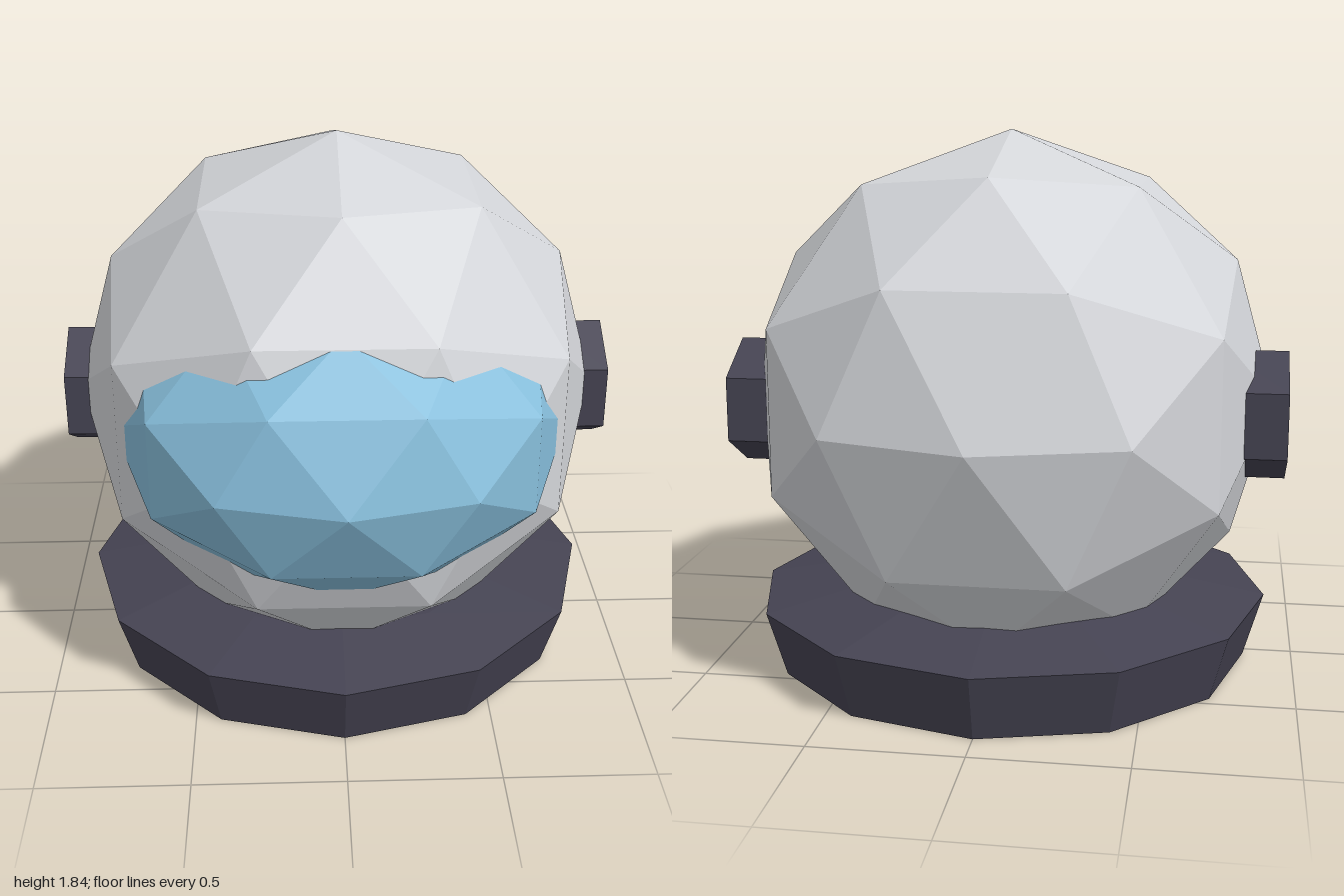
import * as THREE from 'three';

const shell = new THREE.MeshStandardMaterial({ color: 0xd4d6da });
shell.name = 'light grey shell';
const glass = new THREE.MeshStandardMaterial({ color: 0x87bedb });
glass.name = 'blue glass';
const rubber = new THREE.MeshStandardMaterial({ color: 0x454352 });
rubber.name = 'dark trim';

// Gives every triangle its own normal for a faceted look
function faceted(geometry) {
  const flat = geometry.index ? geometry.toNonIndexed() : geometry;
  flat.computeVertexNormals();
  return flat;
}

function addPart(group, name, geometry, material, x, y, z) {
  const mesh = new THREE.Mesh(faceted(geometry), material);
  mesh.name = name;
  mesh.position.set(x, y, z);
  group.add(mesh);
}

// Low-poly ball stretched along each axis
function facetedBall(rx, ry, rz) {
  return new THREE.IcosahedronGeometry(1, 1).rotateY(Math.PI / 2).scale(rx, ry, rz);
}

export function createModel() {
  const helmet = new THREE.Group();
  helmet.name = 'helmet';

  // Main shell, with the visor bulging out of its front
  addPart(helmet, 'shell', facetedBall(0.907, 0.91, 0.952), shell, 0, 0.93, -0.048);
  addPart(helmet, 'visor', facetedBall(0.755, 0.54, 0.65), glass, 0, 0.957, 0.348);

  // Twelve-sided neck ring with an open centre
  const profile = [[0.53, 0], [0.83, 0], [0.897, 0.225], [0.6, 0.28], [0.53, 0.28], [0.53, 0]]
    .map(([r, y]) => new THREE.Vector2(r, y));
  addPart(helmet, 'neckRing', new THREE.LatheGeometry(profile, 12), rubber, 0, 0, -0.045);

  // Hexagonal ear pads, a corner pointing up
  for (const [side, name] of [[1, 'leftEarPad'], [-1, 'rightEarPad']]) {
    const pad = new THREE.CylinderGeometry(0.22, 0.22, 0.22, 6)
      .rotateY(Math.PI / 2)
      .rotateZ(Math.PI / 2);
    addPart(helmet, name, pad, rubber, side * 0.84, 0.893, -0.128);
  }

  return helmet;
}
